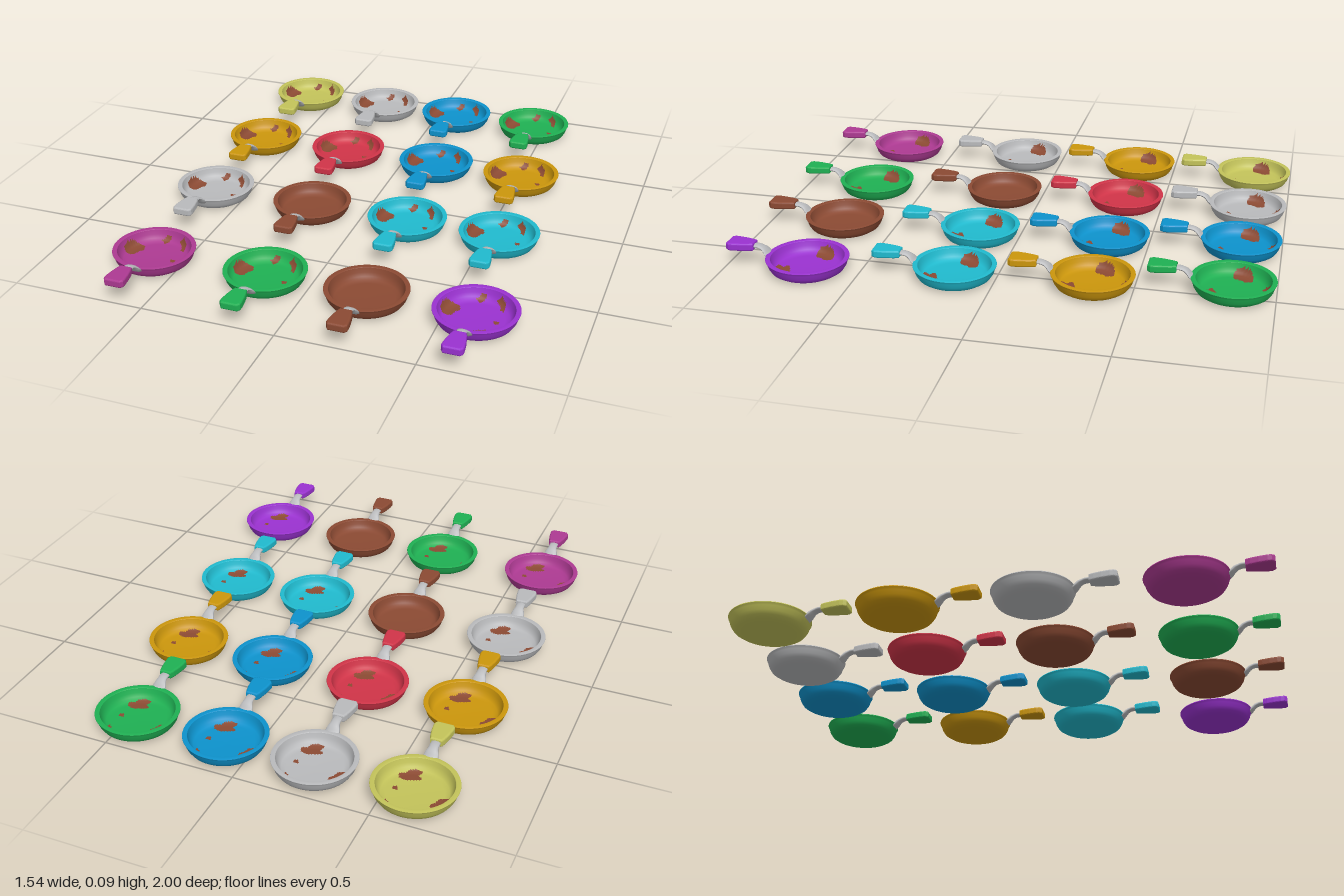
import * as THREE from 'three';
import { mergeGeometries, mergeVertices } from 'three/addons/utils/BufferGeometryUtils.js';

const V2 = (x, y) => new THREE.Vector2(x, y);

// Pan profiles as [radius, height]
const OUTER = [[0, 0], [0.1, 0], [0.12, 0.003], [0.134, 0.012], [0.143, 0.026], [0.148, 0.042], [0.151, 0.048], [0.153, 0.052]];
const RIM = [[0.153, 0.052], [0.152, 0.055], [0.137, 0.055], [0.135, 0.053]];
const INNER = [[0.135, 0.053], [0.131, 0.036], [0.125, 0.022], [0.116, 0.013], [0.1, 0.009], [0, 0.008]];

// Rust outlines on the pan floor as [x, z]
const PATCHES = [
  [[-0.135, -0.045], [-0.12, -0.05], [-0.1, -0.066], [-0.075, -0.062], [-0.065, -0.035], [-0.08, -0.02], [-0.085, 0], [-0.1, 0.01], [-0.125, 0.005], [-0.128, -0.015]],
  [[0, 0.075], [0.03, 0.06], [0.055, 0.05], [0.08, 0.058], [0.085, 0.075], [0.065, 0.085], [0.06, 0.1], [0.035, 0.112], [0.01, 0.11], [0.02, 0.09]],
  [[-0.03, -0.114], [-0.015, -0.128], [0.005, -0.126], [0, -0.115], [-0.012, -0.1]],
  [[0.042, -0.115], [0.065, -0.118], [0.08, -0.095], [0.08, -0.068], [0.066, -0.078], [0.06, -0.1]],
  [[0.06, -0.006], [0.08, -0.01], [0.078, 0.008], [0.068, 0.012]],
];

// Dish with crisp rim edges
function dishGeometry() {
  return mergeGeometries([OUTER, RIM, INNER].map(p =>
    new THREE.LatheGeometry(p.map(([r, y]) => V2(r, y)), 64)));
}

// Height of the inner surface at a radius
function innerHeight(r) {
  for (let i = 0; i < INNER.length - 1; i++) {
    const [r1, y1] = INNER[i], [r0, y0] = INNER[i + 1];
    if (r >= r0 && r <= r1) return y0 + (y1 - y0) * (r - r0) / (r1 - r0);
  }
  return INNER[0][1];
}

function inside(poly, x, z) {
  let hit = false;
  poly.forEach(([ax, az], i) => {
    const [bx, bz] = poly[(i + 1) % poly.length];
    if ((az > z) !== (bz > z) && x < ax + (bx - ax) * (z - az) / (bz - az)) hit = !hit;
  });
  return hit;
}

// Jagged rust: small square cells draped over the inner surface
function rustGeometry() {
  const s = 0.004, n = 34, pos = [];
  const put = (i, k) => {
    const x = i * s, z = k * s;
    pos.push(x, innerHeight(Math.min(0.135, Math.hypot(x, z) + 0.0015)) + 0.001, z);
  };
  for (let i = -n; i < n; i++) for (let k = -n; k < n; k++) {
    const x = (i + 0.5) * s, z = (k + 0.5) * s;
    if (Math.hypot(x, z) > 0.13 || !PATCHES.some(p => inside(p, x, z))) continue;
    put(i, k); put(i, k + 1); put(i + 1, k + 1);
    put(i, k); put(i + 1, k + 1); put(i + 1, k);
  }
  const g = new THREE.BufferGeometry();
  g.setAttribute('position', new THREE.Float32BufferAttribute(pos, 3));
  const merged = mergeVertices(g, 1e-5);
  merged.computeVertexNormals();
  return merged;
}

// Flat S-shaped neck, widest where it joins the dish
function neckGeometry() {
  const path = new THREE.CatmullRomCurve3([[0.042, 0.143], [0.052, 0.154], [0.067, 0.168], [0.076, 0.186], [0.077, 0.212]]
    .map(([y, z]) => new THREE.Vector3(0, y, z)));
  const g = new THREE.TubeGeometry(path, 20, 0.008, 12);
  const p = g.attributes.position;
  for (let i = 0; i < p.count; i++) {
    const t = THREE.MathUtils.smoothstep(p.getZ(i), 0.152, 0.18);
    p.setX(i, p.getX(i) * (3.4 - 1.2 * t));
  }
  g.computeVertexNormals();
  return g;
}

// Grip: rounded plate that widens towards its end
function gripGeometry() {
  const side = [[0.017, 0.21], [0.021, 0.222], [0.027, 0.25], [0.031, 0.28], [0.031, 0.292], [0.026, 0.299]];
  const outline = [...side, ...side.slice().reverse().map(([x, z]) => [-x, z])];
  const g = new THREE.ExtrudeGeometry(new THREE.Shape(outline.map(([x, z]) => V2(x, z))),
    { depth: 0.016, bevelThickness: 0.007, bevelSize: 0.007, bevelSegments: 4 });
  g.rotateX(Math.PI / 2);
  g.translate(0, 0.085, 0);
  return g;
}

export function createModel() {
  const colours = {
    olive: 0xc3c35a, silver: 0xb9babc, blue: 0x0d92cc, green: 0x1fb053, gold: 0xcb960c,
    red: 0xd03448, brown: 0x8b4a33, cyan: 0x20bace, magenta: 0xad3a92, purple: 0x9a32d0,
  };
  const mats = {};
  for (const [name, color] of Object.entries(colours)) {
    mats[name] = new THREE.MeshStandardMaterial({ color });
    mats[name].name = name;
  }

  const dish = dishGeometry(), rust = rustGeometry(), neck = neckGeometry(), grip = gripGeometry();
  const rows = [
    { z: -0.847, pans: [[-0.605, 'olive'], [-0.24, 'silver'], [0.1, 'blue'], [0.455, 'green']] },
    { z: -0.352, pans: [[-0.617, 'gold'], [-0.235, 'red'], [0.156, 'blue'], [0.518, 'gold']] },
    { z: 0.149, pans: [[-0.617, 'silver'], [-0.2, 'brown'], [0.193, 'cyan'], [0.557, 'cyan']] },
    { z: 0.692, pans: [[-0.607, 'magenta'], [-0.163, 'green'], [0.222, 'brown'], [0.617, 'purple']] },
  ];

  const model = new THREE.Group();
  model.name = 'fryingPans';
  for (const { z, pans } of rows) for (const [x, colour] of pans) {
    const pan = new THREE.Group();
    pan.name = colour + 'Pan';
    pan.position.set(x, 0, z);
    const add = (name, geometry, mat) => {
      const mesh = new THREE.Mesh(geometry, mats[mat]);
      mesh.name = name;
      pan.add(mesh);
    };
    add('dish', dish, colour);
    add('neck', neck, 'silver');
    add('grip', grip, colour);
    if (colour !== 'brown') add('rustPatches', rust, 'brown');
    model.add(pan);
  }
  return model;
}
